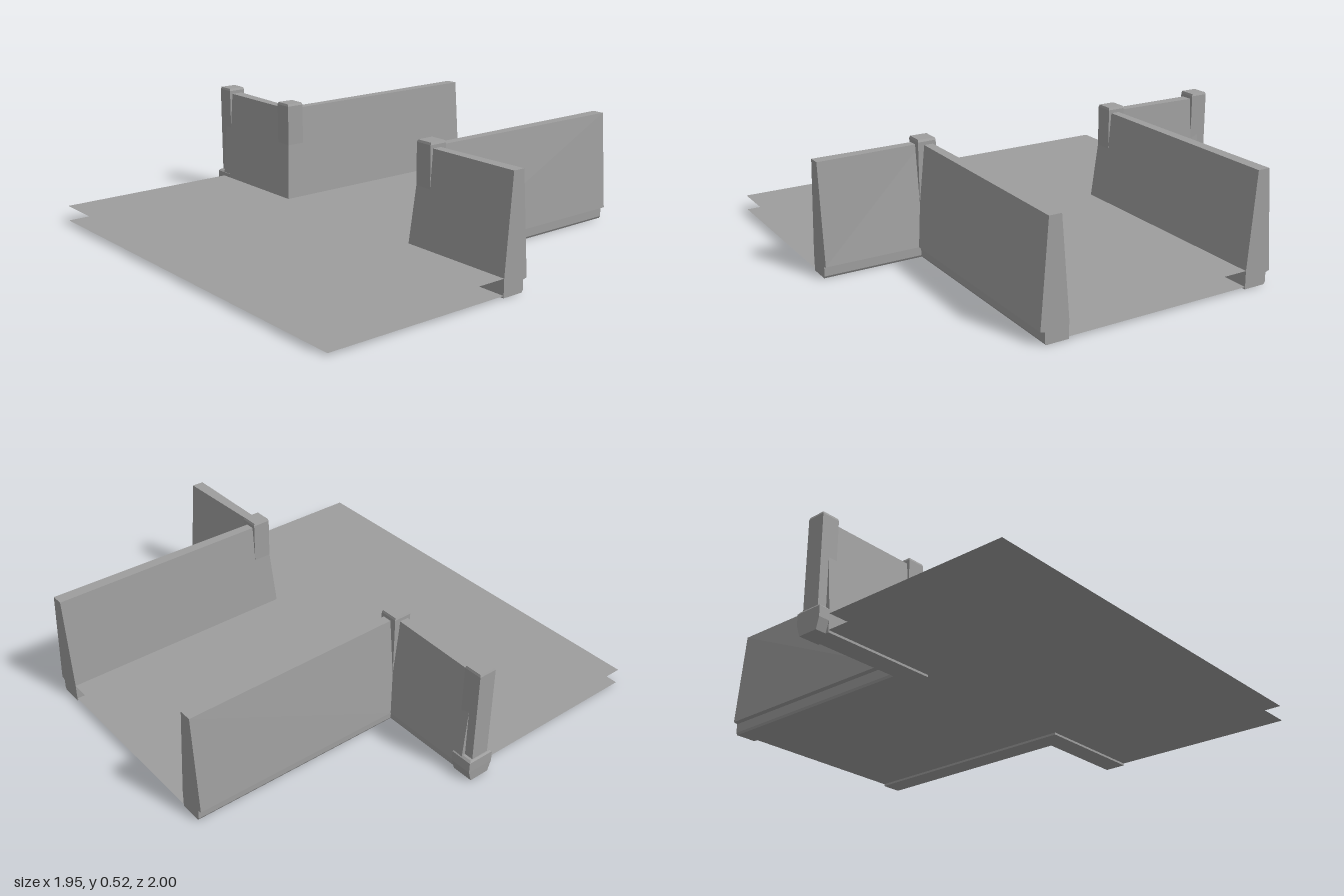
import * as THREE from 'three';

const X0 = -0.125, END = 0.975;       // road-side wall face, end of the side road
const ZS = 0.45, ZN = -0.4;           // road-side faces of the two side-road walls
const material = new THREE.MeshStandardMaterial({ color: 0x9e9e9e, flatShading: true, side: THREE.DoubleSide });

// Wall section: [distance from road face, height], with an undercut on the outside;
// the wall top is narrower at the corner than at the ends
const section = (topOuter) => [
  [0, 0], [0.1, 0], [0.106, 0.01], [0.106, 0.052], [0.125, 0.057],
  [topOuter, 0.5], [0.035, 0.5], [0, 0.08],
];
const endSection = section(0.09), cornerSection = section(0.075);

function add(parent, name, geometry, x = 0, y = 0, z = 0) {
  const mesh = new THREE.Mesh(geometry, material);
  mesh.name = name;
  mesh.position.set(x, y, z);
  parent.add(mesh);
}

// Box whose top or bottom (side = 1 or -1) is scaled in x and z
function taperedBox(w, h, d, side, sx, sz) {
  const geometry = new THREE.BoxGeometry(w, h, d);
  const p = geometry.attributes.position;
  for (let i = 0; i < p.count; i++) {
    if (p.getY(i) * side > 0) p.setXYZ(i, p.getX(i) * sx, p.getY(i), p.getZ(i) * sz);
  }
  geometry.computeVertexNormals();
  return geometry;
}

// Sweep the section round an L-shaped corner with a mitred joint
function cornerWall(zFace, zEnd) {
  const s = Math.sign(zEnd), n = endSection.length;
  const positions = [
    ...endSection.flatMap(([d, y]) => [X0 + d, y, zEnd]),
    ...cornerSection.flatMap(([d, y]) => [X0 + d, y, zFace + s * d]),
    ...endSection.flatMap(([d, y]) => [END, y, zFace + s * d]),
  ];
  const index = [];
  const tri = (a, b, c) => index.push(...(s > 0 ? [a, b, c] : [a, c, b]));
  for (let r = 0; r < 2; r++) {
    for (let i = 0; i < n; i++) {
      const a = r * n + i, b = r * n + (i + 1) % n;
      tri(a, a + n, b + n);
      tri(a, b + n, b);
    }
  }
  const caps = THREE.ShapeUtils.triangulateShape(endSection.map(([d, y]) => new THREE.Vector2(d, y)), []);
  for (const [a, b, c] of caps) {
    tri(a, b, c);
    tri(2 * n + a, 2 * n + c, 2 * n + b);
  }
  const geometry = new THREE.BufferGeometry();
  geometry.setAttribute('position', new THREE.Float32BufferAttribute(positions, 3));
  geometry.setIndex(index);
  const flat = geometry.toNonIndexed();
  flat.computeVertexNormals();
  return flat;
}

// Square post with a chamfered top
function addPost(parent, name, z, bottom) {
  const post = new THREE.Group();
  post.name = name;
  post.position.set(-0.0625, 0, z);
  add(post, 'postShaft', new THREE.BoxGeometry(0.083, 0.515 - bottom, 0.083), 0, (0.515 + bottom) / 2);
  add(post, 'postCap', taperedBox(0.083, 0.01, 0.083, 1, 0.92, 0.92), 0, 0.52);
  parent.add(post);
  return post;
}

export function createModel() {
  const group = new THREE.Group();
  group.name = 'roadJunction';

  // Two thin T-shaped sheets: road surface and underside
  const outline = [
    [-0.975, -0.95], [-0.02, -0.95], [-0.02, -0.505], [END, -0.505],
    [END, 0.555], [-0.02, 0.555], [-0.02, 1], [-0.975, 1],
  ];
  const shape = new THREE.Shape(outline.map(([x, z]) => new THREE.Vector2(x, -z)));
  const sheet = new THREE.ShapeGeometry(shape).rotateX(-Math.PI / 2);
  add(group, 'roadSurface', sheet, 0, 0.08);
  add(group, 'roadUnderside', sheet, 0, 0.01);

  // Parapet walls and the posts at their corners
  add(group, 'frontWall', cornerWall(ZS, 1));
  add(group, 'backWall', cornerWall(ZN, -0.95));
  addPost(group, 'frontCornerPost', ZS + 0.0625, 0.06);
  addPost(group, 'backCornerPost', ZN - 0.0625, 0.06);

  // Post closing the back wall, on a base with a chamfered top and a narrow foot
  const endPost = addPost(group, 'endPost', -0.95, 0.08);
  add(endPost, 'postBaseTop', taperedBox(0.125, 0.008, 0.1, 1, 0.85, 0.9), 0, 0.101);
  add(endPost, 'postBase', new THREE.BoxGeometry(0.125, 0.047, 0.1), 0, 0.0735);
  add(endPost, 'postFoot', taperedBox(0.125, 0.05, 0.1, -1, 0.75, 0.97), 0, 0.025);

  return group;
}
